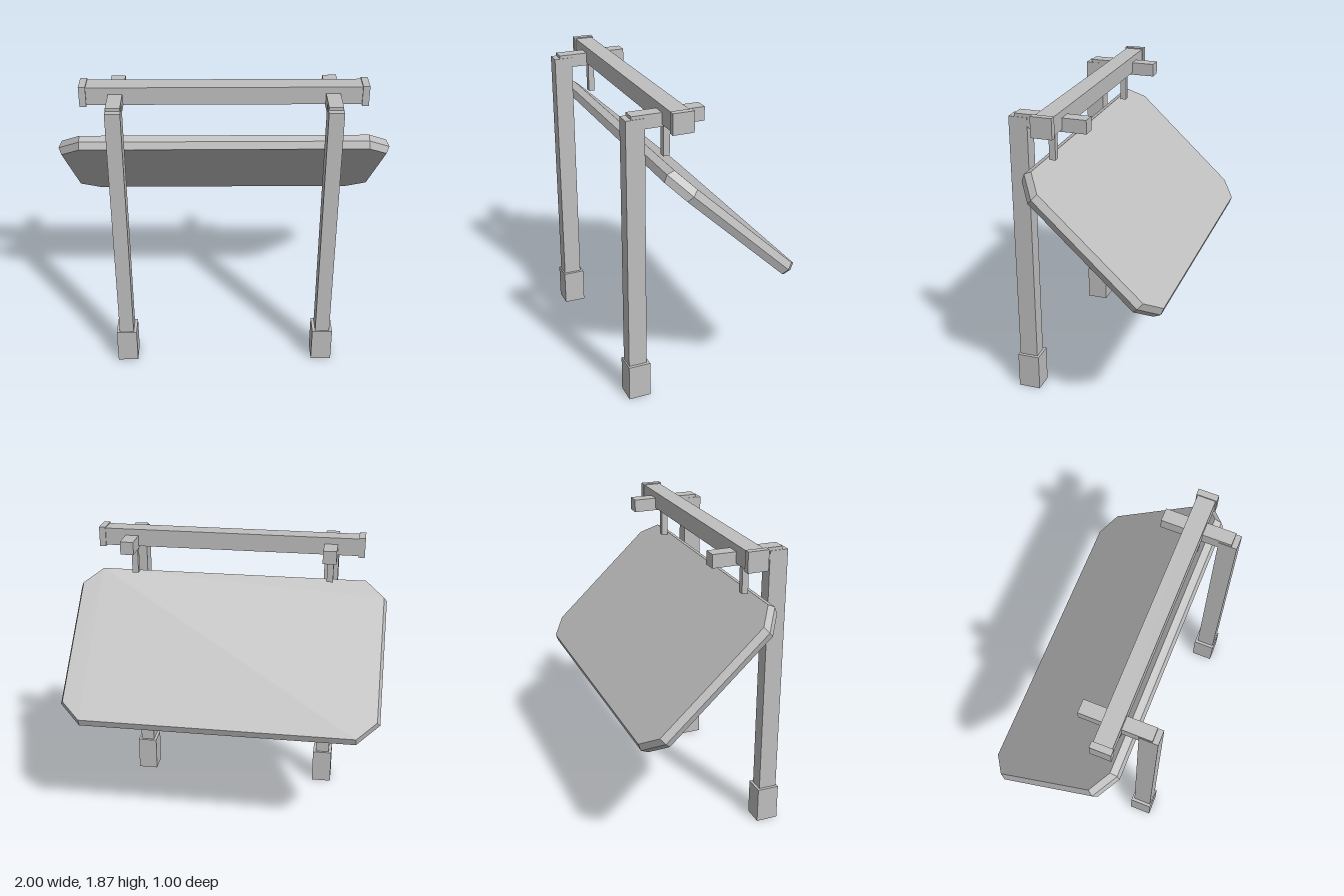
import * as THREE from 'three';

export function createModel() {
  const model = new THREE.Group();
  model.name = 'hangingPanelFrame';
  const grey = new THREE.MeshStandardMaterial({ color: 0xbfbfbf, flatShading: true });
  grey.name = 'plain grey';

  // Box given by its lower and upper limits on each axis
  const addBox = (name, [x0, x1], [y0, y1], [z0, z1]) => {
    const mesh = new THREE.Mesh(new THREE.BoxGeometry(x1 - x0, y1 - y0, z1 - z0), grey);
    mesh.position.set((x0 + x1) / 2, (y0 + y1) / 2, (z0 + z1) / 2);
    mesh.name = name;
    model.add(mesh);
  };
  const around = (c, half) => [c - half, c + half];

  // Posts, feet, arms, hangers and beam caps, mirrored left and right
  for (const [side, s] of [['left', 1], ['right', -1]]) {
    const x = s * 0.632;
    addBox(side + 'Foot', around(x, 0.064), [0, 0.227], [0.365, 0.503]);
    addBox(side + 'Post', around(x, 0.045), [0.2, 1.8], [0.381, 0.495]);
    addBox(side + 'Arm', around(x, 0.042), [1.738, 1.82], [0.022, 0.46]);
    addBox(side + 'Hanger', around(x, 0.02), [1.552, 1.745], [0.223, 0.262]);
    addBox(side + 'BeamCap', around(s * 0.822, 0.02), [1.744, 1.868], [0.16, 0.288]);
  }
  addBox('beam', [-0.81, 0.81], [1.752, 1.861], [0.168, 0.28]);

  // Octagonal outline; grow pushes the straight sides outward
  const outline = (y, grow) => {
    const a = 0.86, b = 0.42, w = 0.98 + grow, d = 0.535 + grow;
    return [[a, d], [w, b], [w, -b], [a, -d], [-a, -d], [-w, -b], [-w, b], [-a, d]]
      .map(([x, z]) => [x, y, z]);
  };

  // Panel: three outlines joined, giving a slightly pointed rim
  const rings = [outline(-0.0435, 0), outline(0, 0.019), outline(0.0435, 0)];
  const verts = [];
  const tri = (...points) => points.forEach((p) => verts.push(...p));
  for (let r = 0; r < 2; r++) {
    for (let i = 0; i < 8; i++) {
      const j = (i + 1) % 8;
      const [lo, hi] = [rings[r], rings[r + 1]];
      tri(lo[i], lo[j], hi[j]);
      tri(lo[i], hi[j], hi[i]);
    }
  }
  for (let i = 1; i < 7; i++) {
    tri(rings[2][0], rings[2][i], rings[2][i + 1]);
    tri(rings[0][0], rings[0][i + 1], rings[0][i]);
  }
  const geometry = new THREE.BufferGeometry();
  geometry.setAttribute('position', new THREE.Float32BufferAttribute(verts, 3));
  geometry.computeVertexNormals();
  const panel = new THREE.Mesh(geometry, grey);
  panel.name = 'tiltedPanel';
  panel.position.set(0, 1.155, -0.076);
  panel.rotation.x = -0.751;
  model.add(panel);

  return model;
}
